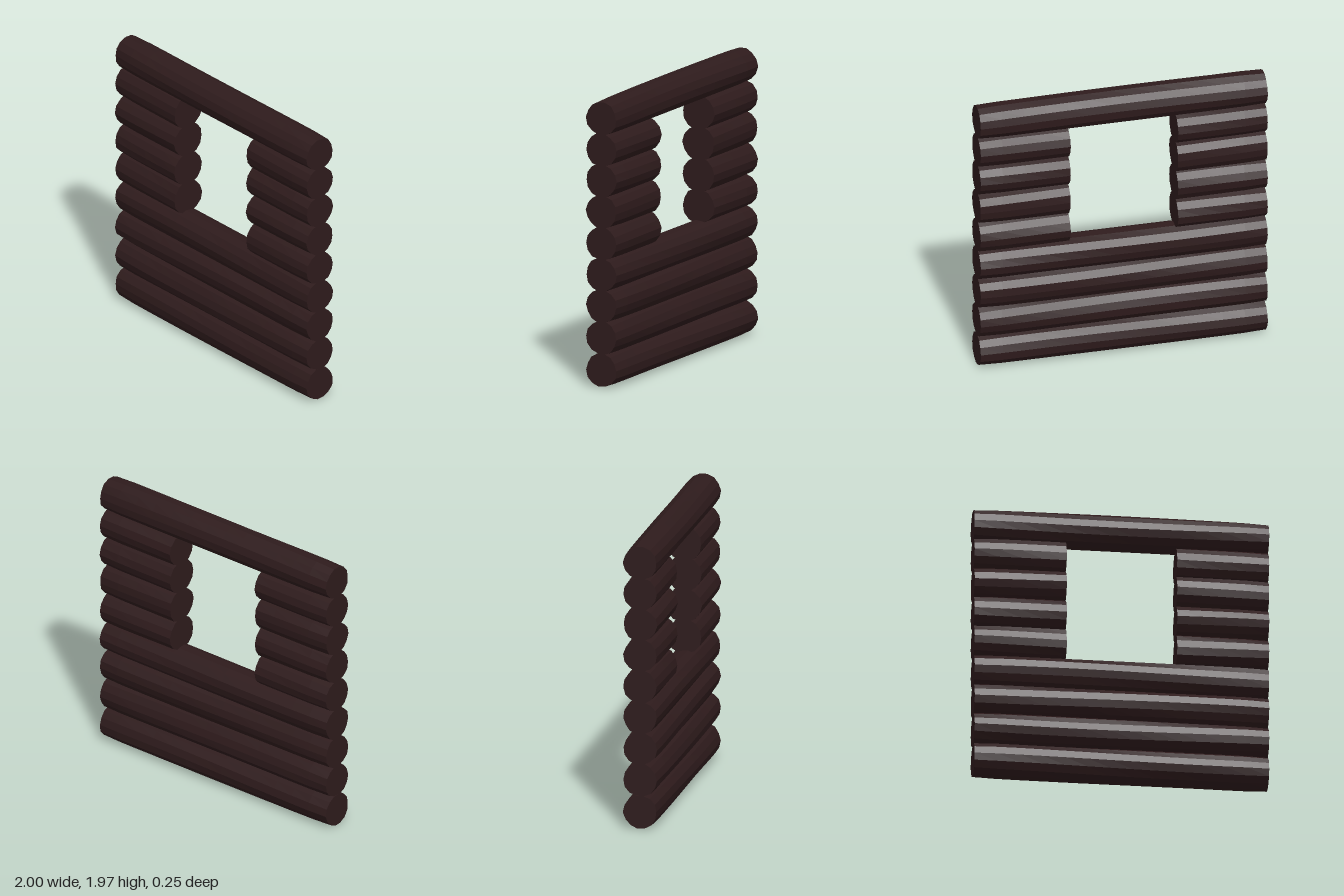
import * as THREE from 'three';

const SIDES = 14;
const HALF = 1; // half the wall width
const WINDOW = 0.375; // half the window width
const ROWS = [0.118, 0.342, 0.56, 0.775, 0.992, 1.21, 1.424, 1.637, 1.853];
const WINDOW_ROWS = [4, 5, 6, 7];

const bark = new THREE.MeshStandardMaterial({ color: 0x2e1b1c, flatShading: true });

// Hewn log from x0 to x1: slightly uneven round section, narrowing at the wall's outer ends
function makeLog(name, x0, x1, y, seed) {
  const length = x1 - x0;
  const geometry = new THREE.CylinderGeometry(1, 1, length, SIDES, Math.ceil(length / 0.16));
  geometry.rotateZ(Math.PI / 2);
  geometry.translate((x0 + x1) / 2, 0, 0);
  const p = geometry.attributes.position;
  for (let i = 0; i < p.count; i++) {
    const x = p.getX(i);
    const rim = Math.hypot(p.getY(i), p.getZ(i));
    const angle = Math.atan2(p.getZ(i), p.getY(i));
    const taper = THREE.MathUtils.smoothstep(Math.abs(x), 0.8, HALF);
    const uneven = 0.0025 * Math.sin(3 * angle + seed + x) + 0.002 * Math.sin(5 * angle + 2.3 * seed - 2 * x);
    const radius = rim * (0.1215 - 0.006 * taper + uneven);
    const turn = angle + 0.06 * Math.sin(2 * x + seed);
    p.setXYZ(i, x, Math.max(-y, radius * Math.cos(turn)), radius * Math.sin(turn));
  }
  geometry.computeVertexNormals();
  const log = new THREE.Mesh(geometry, bark);
  log.name = name;
  log.position.y = y;
  return log;
}

export function createModel() {
  const wall = new THREE.Group();
  wall.name = 'logWallWithWindow';
  ROWS.forEach((y, row) => {
    const seed = row * 1.7 + 0.4;
    if (WINDOW_ROWS.includes(row)) {
      // Short logs on either side of the window opening
      wall.add(makeLog(`rightShortLog${row + 1}`, -HALF, -WINDOW, y, seed));
      wall.add(makeLog(`leftShortLog${row + 1}`, WINDOW, HALF, y, seed));
    } else {
      wall.add(makeLog(`fullLog${row + 1}`, -HALF, HALF, y, seed));
    }
  });
  return wall;
}
